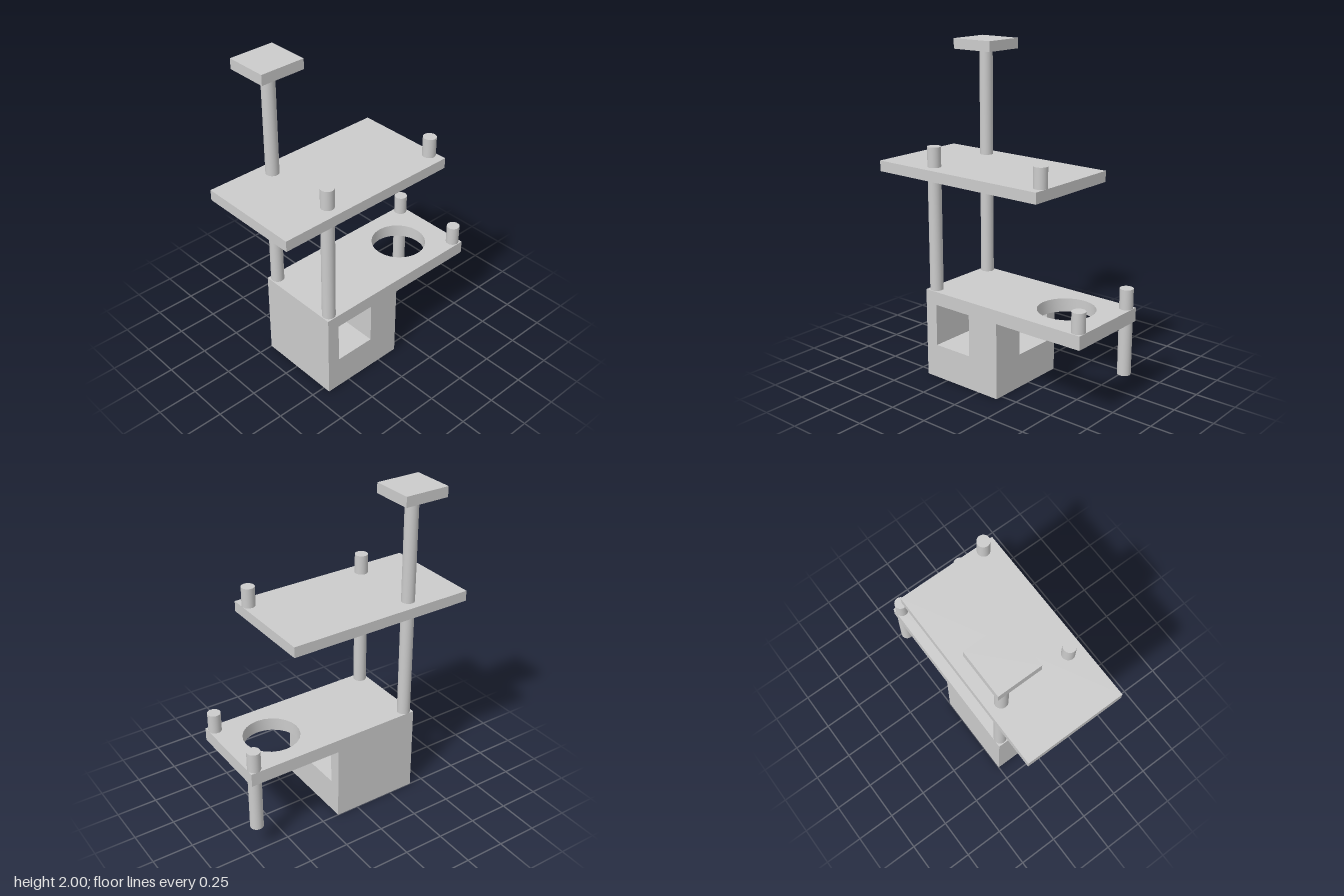
import * as THREE from 'three';
import { toCreasedNormals } from 'three/addons/utils/BufferGeometryUtils.js';

const material = new THREE.MeshStandardMaterial({ color: 0xcccccc });

export function createModel() {
  const group = new THREE.Group();

  function add(name, geometry) {
    const mesh = new THREE.Mesh(geometry, material);
    mesh.name = name;
    group.add(mesh);
    return mesh;
  }

  // Box given by its limits on each axis
  function box(name, [x0, x1], [y0, y1], [z0, z1]) {
    add(name, new THREE.BoxGeometry(x1 - x0, y1 - y0, z1 - z0))
      .position.set((x0 + x1) / 2, (y0 + y1) / 2, (z0 + z1) / 2);
  }

  // Round upright post
  function post(name, x, z, y0, y1) {
    add(name, new THREE.CylinderGeometry(0.04, 0.04, y1 - y0, 24))
      .position.set(x, (y0 + y1) / 2, z);
  }

  // Plan outline in (x, z), extruded from y0 up to y1
  function slab(name, shape, y0, y1) {
    const geometry = new THREE.ExtrudeGeometry(shape, { depth: y1 - y0, bevelEnabled: false, curveSegments: 12 });
    geometry.rotateX(Math.PI / 2).translate(0, y1, 0);
    add(name, toCreasedNormals(geometry, 0.6));
  }

  const outline = (points) => new THREE.Shape(points.map(([x, z]) => new THREE.Vector2(x, z)));

  // Base block: solid bottom, then walls round an L-shaped passage
  // opening at the front and at the +x side
  box('baseBlock', [-0.41, 0.14], [0, 0.21], [-0.25, 0.295]);
  slab('baseOuterWalls', outline([
    [-0.41, -0.25], [0.14, -0.25], [0.14, -0.175], [-0.33, -0.175], [-0.33, 0.295], [-0.41, 0.295],
  ]), 0.21, 0.468);
  box('baseCornerWall', [-0.07, 0.14], [0.21, 0.468], [0.085, 0.295]);

  // Counter top with a round opening in the overhang
  const counter = outline([[-0.41, -0.25], [0.72, -0.25], [0.72, 0.295], [-0.41, 0.295]]);
  const hole = new THREE.Path();
  hole.absarc(0.43, 0.02, 0.17, 0, Math.PI * 2, true);
  counter.holes.push(hole);
  slab('counterTop', counter, 0.468, 0.55);

  // Leg and pegs at the overhanging end
  post('overhangLeg', 0.68, -0.21, 0.145, 0.67);
  post('overhangPeg', 0.68, 0.25, 0.55, 0.67);

  // Upper shelf with its posts
  box('shelf', [-0.725, 0.455], [1.235, 1.3], [-0.3, 0.34]);
  post('shelfPost', -0.365, 0.25, 0.55, 1.42);
  post('shelfPeg', 0.415, 0.25, 1.3, 1.42);

  // Mast with a square cap
  post('mast', -0.365, -0.21, 0.55, 1.94);
  box('mastCap', [-0.505, -0.225], [1.938, 2], [-0.34, -0.08]);

  return group;
}
